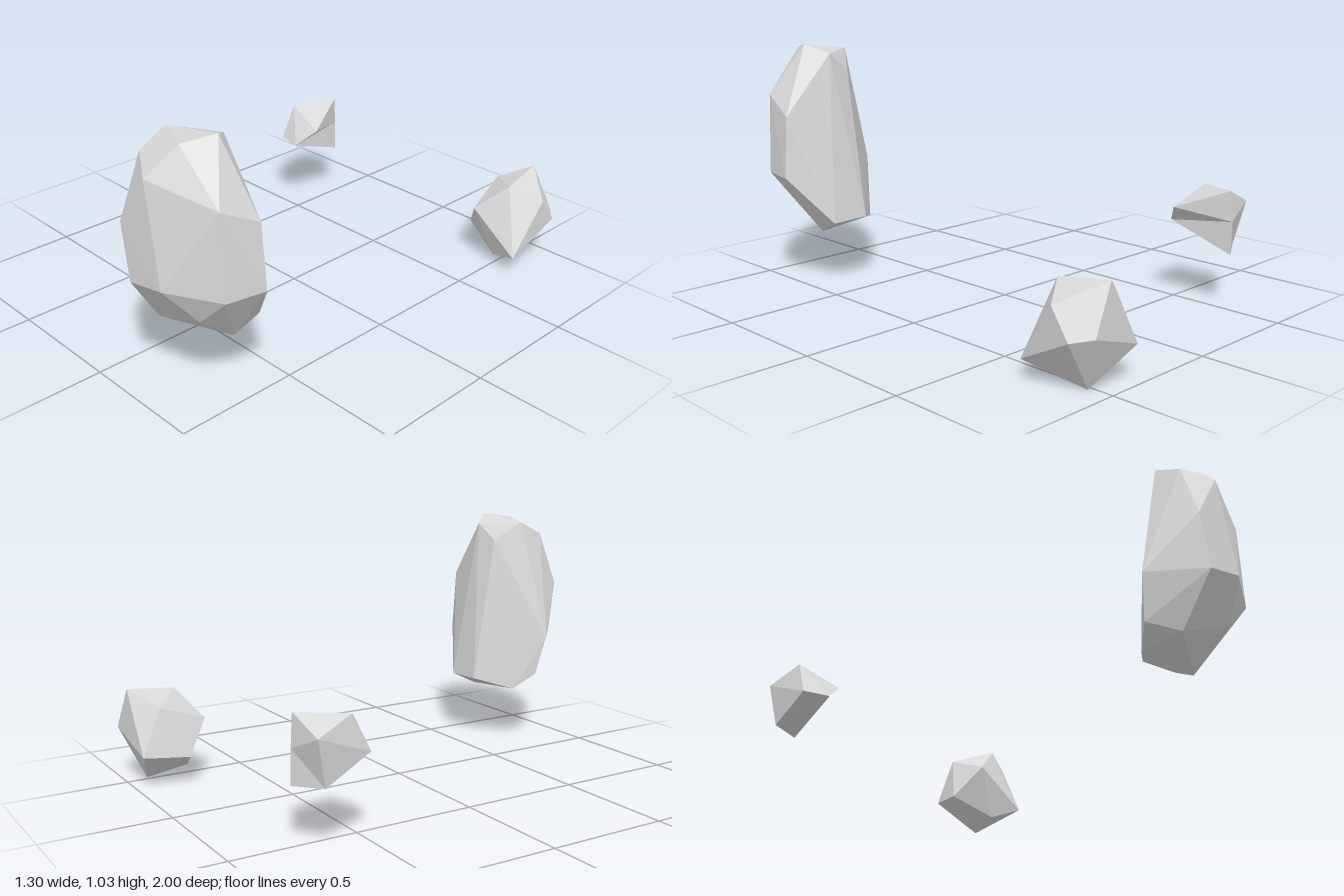
import * as THREE from 'three';
import { ConvexGeometry } from 'three/addons/geometries/ConvexGeometry.js';

const TALL_ROCK = [
  // crown
  [0.205, 1.0, 0.79], [0.44, 1.03, 0.755], [0.385, 1.01, 0.875], [0.37, 0.99, 0.675],
  [0.325, 0.9, 0.98], [0.215, 0.945, 0.91], [0.27, 0.92, 0.69],
  // waist
  [0.555, 0.82, 0.855], [0.58, 0.74, 0.7], [0.205, 0.71, 0.998], [0.6, 0.485, 0.695],
  [0.57, 0.485, 0.85], [0.395, 0.51, 0.985], [0.24, 0.49, 0.998], [0.06, 0.49, 0.835],
  // base
  [0.45, 0.37, 0.87], [0.09, 0.315, 0.8], [0.145, 0.245, 0.715], [0.21, 0.285, 0.865],
  [0.42, 0.225, 0.695], [0.27, 0.285, 0.585], [0.435, 0.28, 0.585],
];

const ROUND_ROCK = [
  [0.5, 0.39, -0.985], [0.525, 0.365, -0.775], [0.645, 0.31, -0.855], [0.375, 0.325, -0.895],
  [0.41, 0.25, -0.69], [0.65, 0.2, -0.935], [0.59, 0.215, -1.0], [0.35, 0.135, -0.98],
  [0.32, 0.12, -0.795], [0.625, 0.08, -0.7], [0.495, 0.035, -0.74], [0.52, 0.0, -0.91],
];

// The small rock has a notch on one side, so its faces are listed.
const SMALL_ROCK = [
  [-0.655, 0.42, -0.735], [-0.6, 0.475, -0.57], [-0.51, 0.485, -0.755],
  [-0.422, 0.4, -0.545], [-0.495, 0.325, -0.48], [-0.605, 0.33, -0.5],
  [-0.63, 0.235, -0.695], [-0.51, 0.225, -0.765], [-0.515, 0.36, -0.765],
];
const SMALL_ROCK_FACES = [
  0, 1, 2, 1, 3, 2, // top
  1, 5, 4, 1, 4, 3, // front
  0, 5, 1, 0, 6, 5, // outer side
  5, 6, 7, 5, 7, 4, // underside
  2, 3, 8, 3, 4, 8, 4, 7, 8, // notched side
  0, 2, 8, 6, 0, 8, 7, 6, 8, // back
];

const hull = (corners) => new ConvexGeometry(corners.map((c) => new THREE.Vector3(...c)));

function faceted(corners, faces) {
  const points = faces.map((i) => new THREE.Vector3(...corners[i]));
  const geometry = new THREE.BufferGeometry().setFromPoints(points);
  geometry.computeVertexNormals();
  return geometry;
}

export function createModel() {
  const group = new THREE.Group();
  group.name = 'rocks';
  const stone = new THREE.MeshStandardMaterial({ color: 0xd8d8d8, flatShading: true });
  stone.name = 'pale stone';

  const addRock = (name, geometry) => {
    const rock = new THREE.Mesh(geometry, stone);
    rock.name = name;
    group.add(rock);
  };
  addRock('tallRock', hull(TALL_ROCK));
  addRock('roundRock', hull(ROUND_ROCK));
  addRock('smallRock', faceted(SMALL_ROCK, SMALL_ROCK_FACES));
  return group;
}
